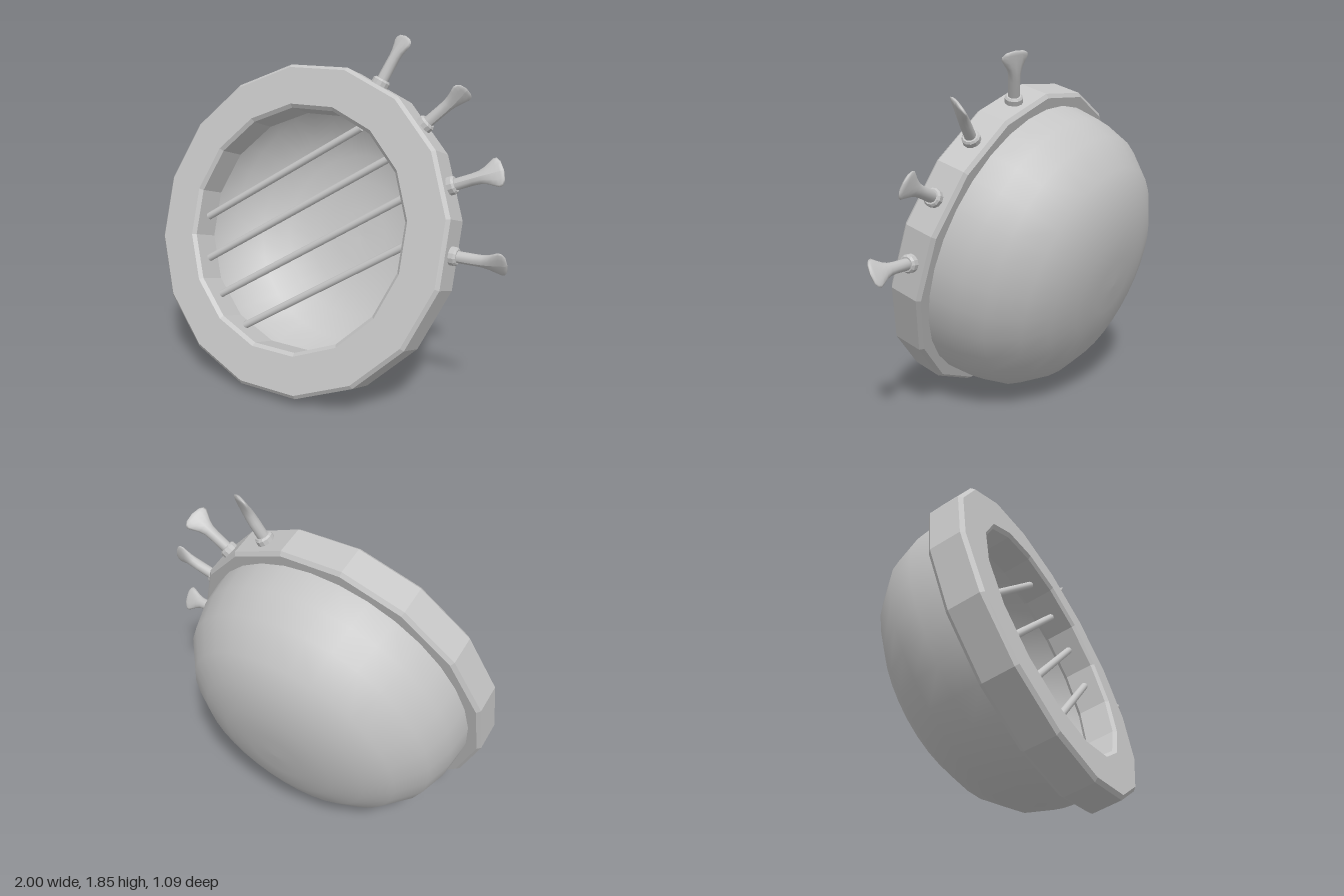
import * as THREE from 'three';

const grey = new THREE.MeshStandardMaterial({ color: 0xc4c4c4, side: THREE.DoubleSide });
grey.name = 'plain grey';

const lathe = (pts, segments, start = 0) =>
  new THREE.LatheGeometry(pts.map(([r, y]) => new THREE.Vector2(r, y)), segments, start);

function flat(geometry) {
  const g = geometry.toNonIndexed();
  g.computeVertexNormals();
  return g;
}

function add(parent, name, geometry) {
  const mesh = new THREE.Mesh(geometry, grey);
  mesh.name = name;
  parent.add(mesh);
  return mesh;
}

// Sixteen-sided ring with chamfered edges; sizes are measured to the flats
function ringGeometry() {
  const h = 0.097, c = 0.018, outer = 0.86, inner = 0.63;
  const profile = [
    [outer - c, -h], [outer, -h + c], [outer, h - c], [outer - c, h],
    [inner + c, h], [inner, h - c], [inner, -h + c], [inner + c, -h], [outer - c, -h],
  ].map(([r, y]) => [r / Math.cos(Math.PI / 16), y]);
  return flat(lathe(profile, 16, Math.PI / 16)).rotateX(Math.PI / 2);
}

// Deep rounded bowl behind the ring
function bowlGeometry() {
  const profile = [
    [0, -0.688], [0.16, -0.684], [0.32, -0.668], [0.48, -0.619], [0.615, -0.54],
    [0.735, -0.396], [0.782, -0.25], [0.797, -0.11], [0.797, -0.07],
  ];
  return lathe(profile, 32).rotateX(Math.PI / 2);
}

// Round shaft that widens into a thin paddle
function paddleGeometry() {
  const stations = [ // distance, half width, half thickness
    [0.88, 0.03, 0.03], [0.98, 0.03, 0.029], [1.02, 0.033, 0.027], [1.05, 0.043, 0.024],
    [1.08, 0.06, 0.019], [1.103, 0.072, 0.015], [1.12, 0.068, 0.012],
    [1.133, 0.048, 0.01], [1.14, 0.0001, 0.0001],
  ];
  const sides = 12;
  const g = lathe(stations.map(([y, w]) => [w, y]), sides);
  const p = g.attributes.position;
  for (let i = 0; i < p.count; i++) {
    const [, w, t] = stations[i % stations.length];
    p.setZ(i, p.getZ(i) * t / w);
  }
  g.computeVertexNormals();
  return g;
}

export function createModel() {
  const model = new THREE.Group();
  model.name = 'barredBowl';
  const body = new THREE.Group();
  body.name = 'tiltedBody';
  body.position.set(-0.14, 0.847, 0.193);
  body.rotation.x = -0.311;
  model.add(body);

  add(body, 'ring', ringGeometry());
  add(body, 'bowl', bowlGeometry());

  // Four parallel bars across the opening
  const slope = THREE.MathUtils.degToRad(33.5);
  for (const offset of [0.33, 0.11, -0.11, -0.33]) {
    const length = 2 * Math.sqrt(0.625 ** 2 - offset ** 2);
    const bar = add(body, 'bar', new THREE.CylinderGeometry(0.02, 0.02, length, 12));
    bar.rotation.z = slope - Math.PI / 2;
    bar.position.set(-Math.sin(slope) * offset, Math.cos(slope) * offset, 0);
  }

  // Tuning pegs around the rim, each turned differently
  const paddle = paddleGeometry();
  const collar = flat(lathe([[0, 0.84], [0.047, 0.84], [0.047, 0.885], [0.038, 0.895], [0, 0.895]], 12));
  [45, 0, 68, -26].forEach((twist, i) => {
    const peg = new THREE.Group();
    peg.name = 'peg';
    peg.rotation.order = 'ZYX';
    peg.rotation.set(0, THREE.MathUtils.degToRad(twist), i * Math.PI / 8 - Math.PI / 2);
    add(peg, 'pegCollar', collar);
    add(peg, 'pegPaddle', paddle);
    body.add(peg);
  });

  return model;
}
